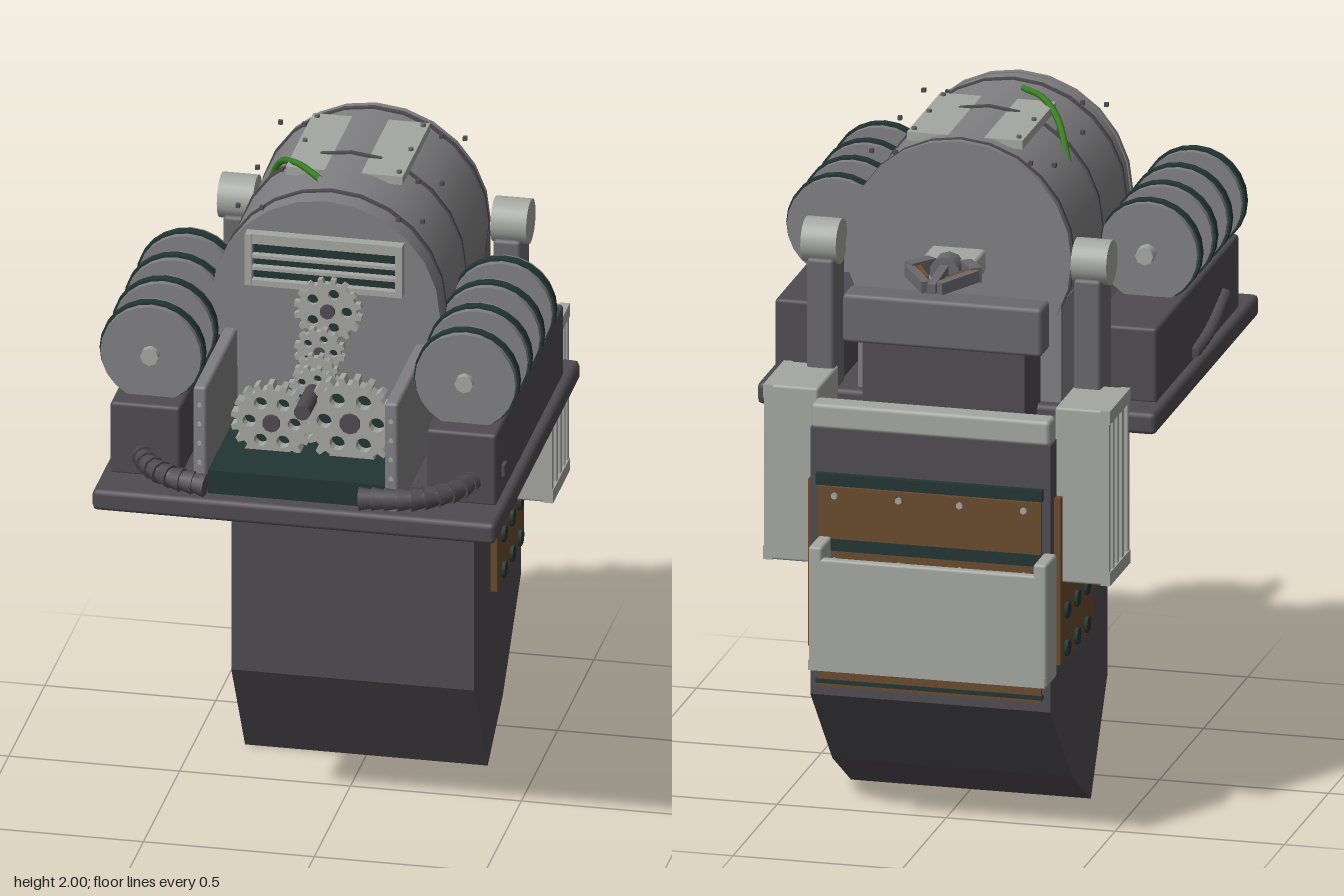
import * as THREE from 'three';
import { RoundedBoxGeometry } from 'three/addons/geometries/RoundedBoxGeometry.js';

const paint = (name, color) => {
  const m = new THREE.MeshStandardMaterial({ color });
  m.name = name;
  return m;
};

export function createModel() {
  const dark = paint('dark iron', 0x4f4c51), mid = paint('steel', 0x808082), light = paint('pale metal', 0xa5a7a2);
  const teal = paint('deep teal', 0x233633), rust = paint('rust brown', 0x6a4b2e);
  const green = paint('vine green', 0x3a8024), grey = paint('beam grey', 0x69696c);
  const root = new THREE.Group();
  root.name = 'machine';

  const add = (name, geo, mat, x = 0, y = 0, z = 0) => {
    const m = new THREE.Mesh(geo, mat);
    m.name = name;
    m.position.set(x, y, z);
    root.add(m);
    return m;
  };
  // Box given by its limits, with an optional chamfer
  const box = (name, mat, x0, x1, y0, y1, z0, z1, bevel = 0) => {
    const s = [Math.abs(x1 - x0), y1 - y0, z1 - z0];
    const geo = bevel ? new RoundedBoxGeometry(...s, 1, bevel) : new THREE.BoxGeometry(...s);
    return add(name, geo, mat, (x0 + x1) / 2, (y0 + y1) / 2, (z0 + z1) / 2);
  };
  // Cylinder along z or x
  const cyl = (name, mat, axis, r, len, x, y, z, sides = 24) => {
    const geo = new THREE.CylinderGeometry(r, r, len, sides);
    if (axis === 'z') geo.rotateX(Math.PI / 2);
    if (axis === 'x') geo.rotateZ(Math.PI / 2);
    return add(name, geo, mat, x, y, z);
  };
  // Square bar between two points
  const bar = (name, mat, a, b, w, h) => {
    const A = new THREE.Vector3(...a), B = new THREE.Vector3(...b);
    const m = add(name, new THREE.BoxGeometry(w, h, A.distanceTo(B)), mat);
    m.position.copy(A).lerp(B, 0.5);
    m.lookAt(B);
    return m;
  };
  const curve = pts => new THREE.CatmullRomCurve3(pts.map(p => new THREE.Vector3(...p)));
  // Ribbed hose: overlapping flared rings along a curve
  const hose = (name, pts, r, rings) => {
    const c = curve(pts), up = new THREE.Vector3(0, 1, 0);
    add(name, new THREE.TubeGeometry(c, 16, r * 0.8, 8), dark);
    const len = c.getLength() / rings;
    for (let i = 0; i < rings; i++) {
      const t = (i + 0.5) / rings;
      const ring = add(name + 'Ring', new THREE.CylinderGeometry(r, r * 0.8, len, 8), dark);
      ring.position.copy(c.getPointAt(t));
      ring.quaternion.setFromUnitVectors(up, c.getTangentAt(t));
    }
  };

  // Deck and pointed chute
  box('deck', dark, -0.59, 0.59, 1.16, 1.225, -0.39, 0.79, 0.015);
  const side = new THREE.Shape([[0.03, 1.18], [0.03, 0.32], [0.22, 0], [0.43, 0.13], [0.68, 0.4], [0.68, 1.2], [0.3, 1.2], [0.3, 1.18]]
    .map(p => new THREE.Vector2(...p)));
  const chute = new THREE.ExtrudeGeometry(side, { depth: 0.71, bevelEnabled: false });
  chute.translate(0, 0, -0.355).rotateY(Math.PI / 2);
  add('chute', chute, dark);

  // Drum with bands, cradle and roof plate
  const cy = 1.655;
  cyl('drum', mid, 'z', 0.33, 0.7, 0, cy, -0.01);
  for (const z of [-0.31, 0.01, 0.28]) {
    cyl('drumBand', dark, 'z', 0.336, 0.014, 0, cy, z - 0.02);
    for (const x of [-0.27, -0.2, 0.2, 0.27])
      box('bandBolt', dark, x - 0.006, x + 0.006, 1.918, 1.93, z - 0.006, z + 0.006);
  }
  for (const z of [0.33, -0.35]) cyl('drumRim', mid, 'z', 0.334, 0.02, 0, cy, z);
  box('cradle', mid, -0.3, 0.3, 1.2, 1.52, -0.35, 0.33);
  box('roofPlate', light, -0.167, 0.175, 1.952, 1.978, -0.275, 0.105);
  for (const x of [-0.15, 0.16]) for (const z of [-0.25, -0.08, 0.08])
    cyl('roofRivet', grey, 'y', 0.008, 0.012, x, 1.98, z, 6);
  add('vine', new THREE.TubeGeometry(curve([[-0.25, 1.85, -0.07], [-0.2, 1.95, 0.01], [-0.13, 1.988, 0.1], [-0.05, 1.985, 0.185]]), 20, 0.01, 6), green);

  // Front vent
  box('ventBack', teal, -0.22, 0.22, 1.735, 1.87, 0.335, 0.35);
  for (const s of [-1, 1]) box('ventFrame', light, s * 0.21, s * 0.23, 1.72, 1.88, 0.335, 0.375);
  for (const [y, h] of [[1.728, 0.018], [1.773, 0.01], [1.81, 0.01], [1.865, 0.03]])
    box('ventSlat', light, -0.21, 0.21, y - h / 2, y + h / 2, 0.335, 0.372);

  // Gear bay
  box('gearBayFloor', teal, -0.26, 0.26, 1.2, 1.297, 0.3, 0.74);
  const gear = (x, y, z, r, teeth, depth, holes) => {
    const s = new THREE.Shape();
    for (let i = 0; i < teeth; i++) {
      [[0, 0.85], [0.3, 0.85], [0.42, 1], [0.78, 1], [0.9, 0.85]].forEach(([f, k], j) => {
        const a = ((i + f) / teeth) * Math.PI * 2;
        s[i + j ? 'lineTo' : 'moveTo'](Math.cos(a) * r * k, Math.sin(a) * r * k);
      });
    }
    for (let i = 0; i < holes; i++) {
      const a = (i / holes) * Math.PI * 2, h = new THREE.Path();
      h.absarc(Math.cos(a) * r * 0.55, Math.sin(a) * r * 0.55, r * 0.16, 0, Math.PI * 2, true);
      s.holes.push(h);
    }
    add('gear', new THREE.ExtrudeGeometry(s, { depth, bevelEnabled: false, curveSegments: 6 }), light, x, y, z);
    if (holes) cyl('gearBacking', teal, 'z', r * 0.78, 0.008, x, y, z + 0.004, 16);
    cyl('gearHub', dark, 'z', r * 0.22, depth + 0.02, x, y, z + depth / 2, 10);
  };
  gear(0.015, 1.665, 0.365, 0.1, 16, 0.02, 5);
  gear(0, 1.555, 0.41, 0.075, 12, 0.022, 5);
  gear(0, 1.5, 0.45, 0.065, 12, 0.022, 0);
  gear(0, 1.47, 0.495, 0.075, 12, 0.022, 5);
  gear(-0.11, 1.385, 0.53, 0.12, 18, 0.04, 6);
  gear(0.12, 1.405, 0.53, 0.14, 20, 0.04, 6);
  cyl('gearShaft', dark, 'z', 0.024, 0.34, 0, 1.47, 0.5, 10);
  for (const x of [-0.11, 0.12]) cyl('gearAxle', dark, 'z', 0.018, 0.25, x, 1.39, 0.43, 10);

  for (const s of [-1, 1]) {
    // Gear bay walls and roller pods
    box('bayWall', mid, s * 0.26, s * 0.3, 1.22, 1.565, 0.32, 0.76, 0.01);
    for (let i = 0; i < 5; i++) cyl('bayWallRivet', light, 'z', 0.007, 0.01, s * 0.28, 1.27 + i * 0.06, 0.761, 6);
    box('podBase', dark, s * 0.36, s * 0.565, 1.22, 1.445, -0.28, 0.655, 0.01);
    cyl('rollerShaft', light, 'z', 0.027, 0.63, s * 0.46, 1.575, 0.295, 8);
    for (const z of [0.555, 0.388, 0.22, 0.052]) {
      cyl('roller', mid, 'z', 0.147, 0.066, s * 0.46, 1.575, z);
      cyl('rollerBand', teal, 'z', 0.154, 0.026, s * 0.46, 1.575, z);
    }

    // Rear posts with cylinder caps
    box('rearPost', grey, s * 0.355, s * 0.435, 1.1, 1.62, -0.42, -0.29, 0.01);
    cyl('postCap', light, 'x', 0.066, 0.105, s * 0.4, 1.66, -0.355);

    // Radiator boxes with slots
    box('radiator', light, s * 0.35, s * 0.495, 0.77, 1.295, -0.61, -0.375, 0.008);
    box('radiatorCore', teal, s * 0.49, s * 0.499, 0.81, 1.26, -0.59, -0.395);
    for (const y of [0.79, 1.275]) box('radiatorFrame', light, s * 0.485, s * 0.513, y - 0.02, y + 0.02, -0.61, -0.375);
    for (const [z, w] of [[-0.387, 0.024], [-0.45, 0.018], [-0.505, 0.018], [-0.555, 0.018], [-0.601, 0.018]])
      box('radiatorSlat', light, s * 0.485, s * 0.51, 0.8, 1.27, z - w / 2, z + w / 2);

    // Bolted side panels
    box('sidePanel', rust, s * 0.35, s * 0.373, 0.53, 1.03, -0.635, -0.26);
    for (const z of [-0.345, -0.457, -0.57]) for (const y of [0.565, 0.678, 0.79, 0.903])
      cyl('panelBolt', teal, 'x', 0.026, 0.02, s * 0.373, y, z, 6);
  }

  // Hoses
  hose('rightHose', [[-0.48, 1.285, 0.63], [-0.44, 1.28, 0.7], [-0.37, 1.275, 0.755], [-0.26, 1.265, 0.775]], 0.036, 8);
  hose('leftHose', [[0.5, 1.295, 0.63], [0.45, 1.285, 0.71], [0.36, 1.275, 0.76], [0.19, 1.265, 0.775]], 0.036, 10);
  hose('podHose', [[-0.57, 1.25, 0.12], [-0.575, 1.27, 0.28], [-0.57, 1.32, 0.47]], 0.02, 10);
  box('podLatch', dark, 0.56, 0.575, 1.285, 1.32, 0.55, 0.585);

  // Rear neck, beam and chute lip
  box('neck', dark, -0.24, 0.24, 1.19, 1.53, -0.53, -0.34);
  box('rearBeam', grey, -0.295, 0.295, 1.42, 1.565, -0.55, -0.45, 0.012);
  box('chuteSlot', teal, -0.3, 0.3, 1.195, 1.205, -0.62, -0.53);
  box('chuteLip', light, -0.355, 0.35, 1.2, 1.275, -0.69, -0.615, 0.012);

  // Rear panels
  box('rearPanel', rust, -0.33, 0.33, 0.43, 1.03, -0.692, -0.67);
  for (const [a, b] of [[1.035, 1.07], [0.84, 0.875], [0.44, 0.452]]) box('rearStrip', teal, -0.335, 0.335, a, b, -0.697, -0.67);
  for (const y of [1.005, 0.81]) for (const x of [-0.28, -0.09, 0.09, 0.28])
    cyl('rearRivet', light, 'z', 0.01, 0.014, x, y, -0.694, 6);

  // Open tray on the back
  box('trayFloor', light, -0.37, 0.33, 0.51, 0.54, -0.8, -0.69);
  box('trayBack', light, -0.37, 0.33, 0.51, 0.845, -0.8, -0.77, 0.008);
  box('trayInside', teal, -0.335, 0.295, 0.54, 0.545, -0.77, -0.69);
  for (const x of [-0.355, 0.31]) box('trayEnd', light, x - 0.02, x + 0.02, 0.51, 0.88, -0.8, -0.68, 0.008);

  // Claw
  box('clawMount', light, -0.08, 0.08, 1.6, 1.67, -0.48, -0.35, 0.01);
  cyl('clawWrist', grey, 'z', 0.045, 0.06, 0, 1.645, -0.49, 10);
  bar('clawMiddle', grey, [0, 1.655, -0.48], [0, 1.64, -0.67], 0.025, 0.03);
  for (const s of [-1, 1]) {
    const tip = [s * 0.02, 1.64, -0.655], knee = [s * 0.1, 1.65, -0.54], base = [s * 0.05, 1.65, -0.47];
    bar('clawKnuckle', grey, base, knee, 0.035, 0.045);
    bar('clawFinger', grey, knee, tip, 0.026, 0.035);
    bar('clawPad', rust, [s * 0.075, 1.65, -0.53], [s * 0.03, 1.645, -0.61], 0.015, 0.03);
  }
  return root;
}
